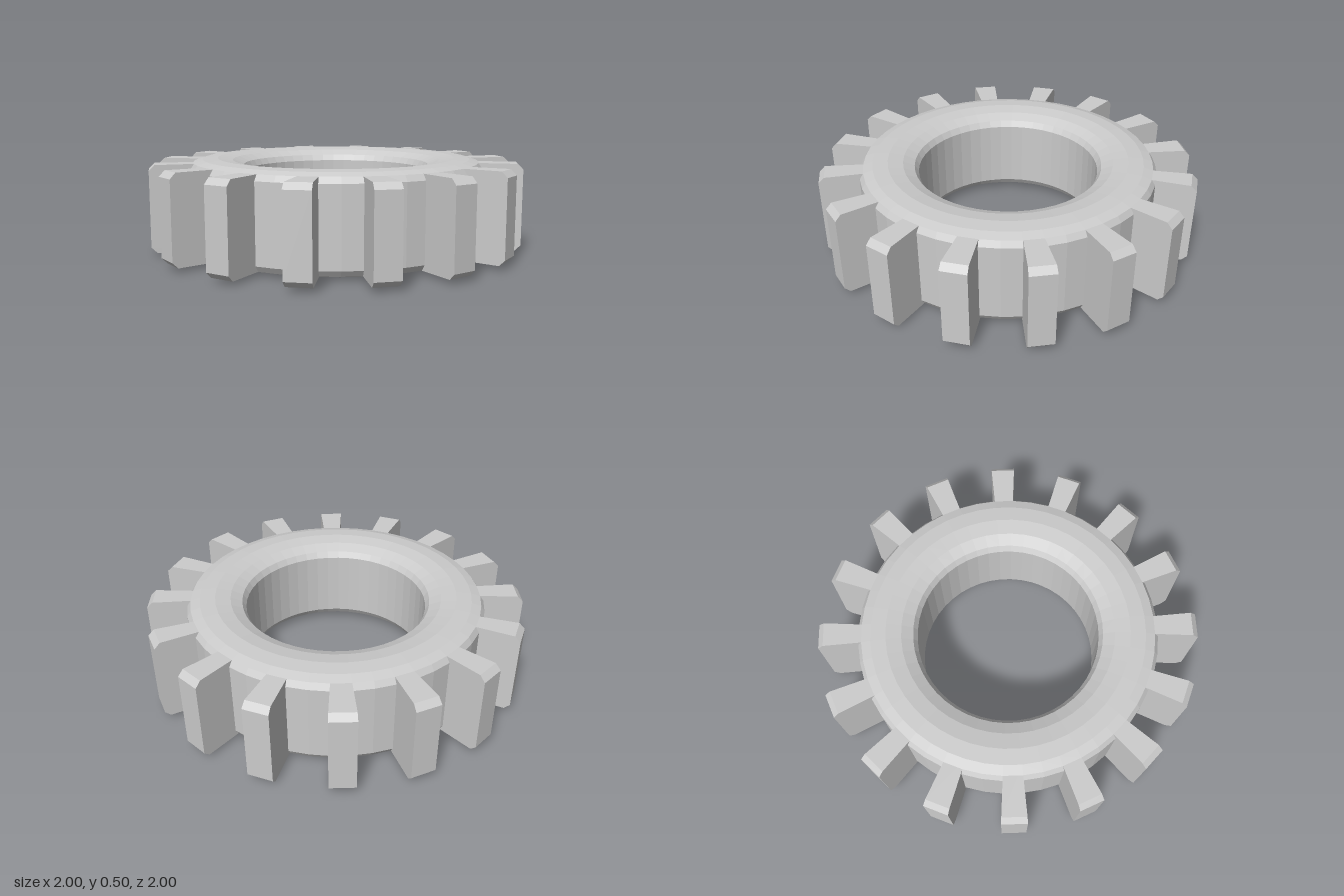
import * as THREE from 'three';

const SEGMENTS = 48;
const TEETH = 16;
const STEP = (Math.PI * 2) / SEGMENTS;
const HEIGHT = 0.5;

// Wedge tooth: a chamfered radial section swept through one ring segment
function toothGeometry() {
  const section = new THREE.Shape([
    [0.72, 0.02], [0.97, 0.02], [1.0, 0.05],
    [1.0, 0.45], [0.97, 0.48], [0.72, 0.48],
  ].map(([r, y]) => new THREE.Vector2(r, y)));
  const geometry = new THREE.ExtrudeGeometry(section, { depth: 1, bevelEnabled: false });
  const pos = geometry.attributes.position;
  for (let i = 0; i < pos.count; i++) {
    const r = pos.getX(i);
    const angle = STEP * (1 - pos.getZ(i));
    pos.setXYZ(i, r * Math.sin(angle), pos.getY(i), r * Math.cos(angle));
  }
  geometry.computeVertexNormals();
  return geometry;
}

export function createModel() {
  const group = new THREE.Group();
  group.name = 'gear';
  const material = new THREE.MeshStandardMaterial({ color: 0xcccccc, flatShading: true });

  // Ring: domed upper half, mirrored for the lower half
  const upper = [
    [0.79, 0.45], [0.77, 0.48], [0.72, 0.495], [0.64, 0.5],
    [0.56, 0.488], [0.5, 0.462], [0.48, 0.43],
  ];
  const lower = upper.map(([r, y]) => [r, HEIGHT - y]).reverse();
  const profile = [...upper, ...lower, upper[0]].map(([r, y]) => new THREE.Vector2(r, y));
  const ring = new THREE.Mesh(new THREE.LatheGeometry(profile, SEGMENTS), material);
  ring.name = 'ring';
  group.add(ring);

  // Teeth: one on every third segment
  const geometry = toothGeometry();
  for (let i = 0; i < TEETH; i++) {
    const tooth = new THREE.Mesh(geometry, material);
    tooth.name = `tooth${i + 1}`;
    tooth.rotation.y = (i / TEETH) * Math.PI * 2;
    group.add(tooth);
  }
  return group;
}
